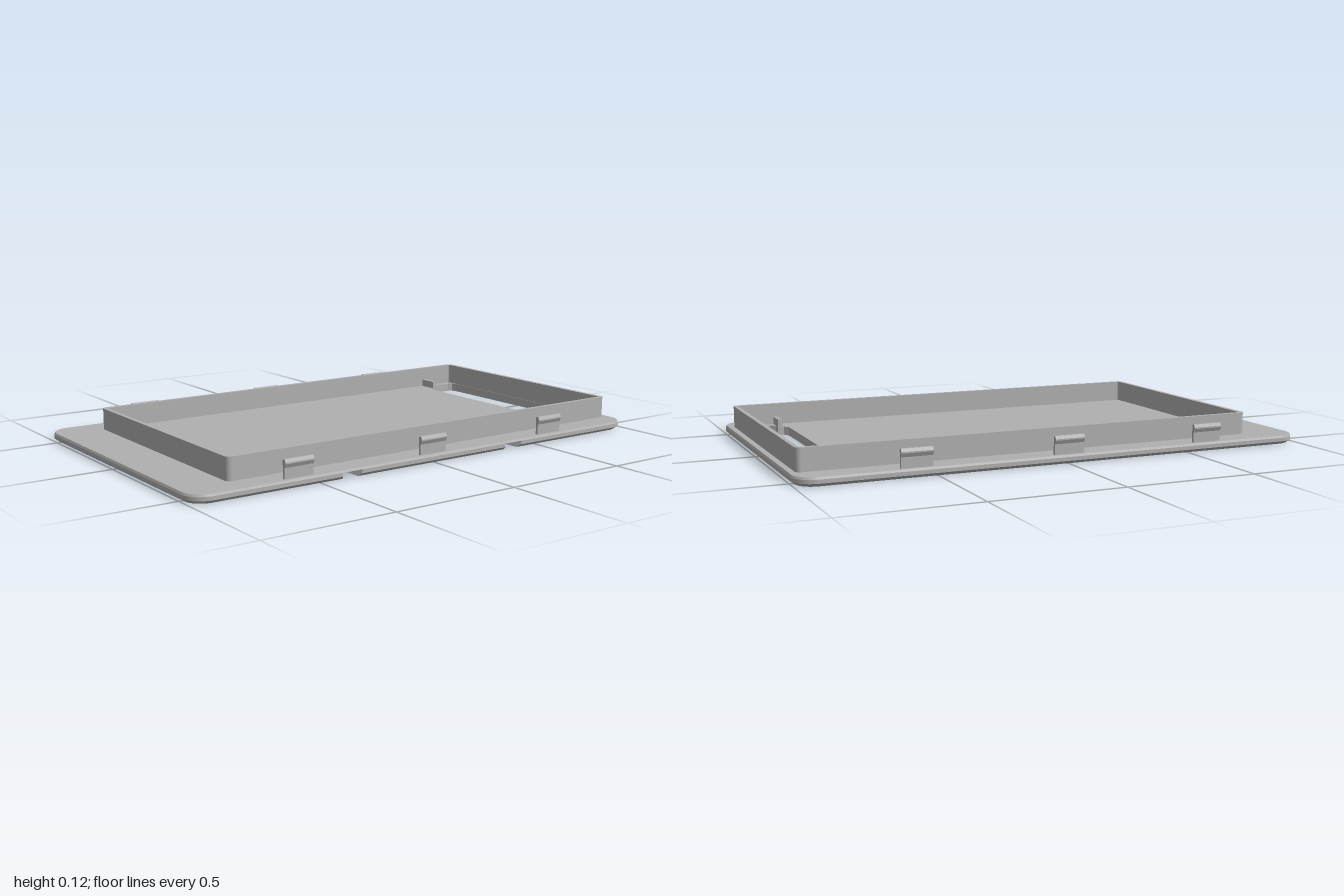
import * as THREE from 'three';

const X = 1, Z = 0.592, R = 0.08;           // plate half sizes and corner radius
const TOP = 0.034, SLOT_TOP = 0.026;        // plate thickness, slot roof height
const CHAMFER = 0.016;
const SLOT_X = 0.375, SLOT_HALF = 0.045, SLOT_DEPTH = 0.2;

// Rounded rectangle path; slots optionally cut into its +z edge
function roundedRect(path, x0, x1, z0, z1, r, slots = []) {
  path.moveTo(x0 + r, z0);
  path.lineTo(x1 - r, z0);
  path.absarc(x1 - r, z0 + r, r, -Math.PI / 2, 0);
  path.lineTo(x1, z1 - r);
  path.absarc(x1 - r, z1 - r, r, 0, Math.PI / 2);
  for (const s of slots) {
    path.lineTo(s + SLOT_HALF, z1);
    path.lineTo(s + SLOT_HALF, z1 - SLOT_DEPTH);
    path.lineTo(s - SLOT_HALF, z1 - SLOT_DEPTH);
    path.lineTo(s - SLOT_HALF, z1);
  }
  path.lineTo(x0 + r, z1);
  path.absarc(x0 + r, z1 - r, r, Math.PI / 2, Math.PI);
  path.lineTo(x0, z0 + r);
  path.absarc(x0 + r, z0 + r, r, Math.PI, Math.PI * 1.5);
  return path;
}

// Extrude a plan shape (x, z) between two heights
function slab(shape, y0, y1) {
  const g = new THREE.ExtrudeGeometry(shape, { depth: y1 - y0, bevelEnabled: false, curveSegments: 10 });
  return g.rotateX(Math.PI / 2).translate(0, y1, 0);
}

// Window opening with stepped left corners
function windowHole() {
  const h = new THREE.Path();
  const pts = [[0.775, -0.38], [0.79, -0.398], [0.815, -0.4], [0.815, -0.43], [0.835, -0.448],
    [0.93, -0.448], [0.947, -0.44], [0.955, -0.42]];
  const mirrored = pts.map(([x, z]) => [x, -z]).reverse();
  h.setFromPoints([...pts, ...mirrored].map(([x, z]) => new THREE.Vector2(x, z)));
  h.closePath();
  return h;
}

// Pull the outer rim inwards by an inset and narrow the slots towards the bottom
function shapeRim(g, insetAt) {
  const p = g.attributes.position;
  for (let i = 0; i < p.count; i++) {
    let x = p.getX(i), z = p.getZ(i);
    const y = p.getY(i);
    const side = Math.sign(x) * SLOT_X;
    if (y < SLOT_TOP && z > 0.3 && Math.abs(x - side) < 0.05) {
      x = side + (x - side) * (0.73 + 0.27 * y / SLOT_TOP);
    }
    const cx = THREE.MathUtils.clamp(x, -X + R, X - R);
    const cz = THREE.MathUtils.clamp(z, -Z + R, Z - R);
    const d = Math.hypot(x - cx, z - cz), max = R - insetAt(y);
    if (d > max) {
      x = cx + (x - cx) * max / d;
      z = cz + (z - cz) * max / d;
    }
    p.setXYZ(i, x, y, z);
  }
  g.computeVertexNormals();
  return g;
}

export function createModel() {
  const model = new THREE.Group();
  const grey = new THREE.MeshStandardMaterial({ color: 0xb0b0b0 });
  grey.name = 'grey plastic';
  const add = (name, geometry) => {
    const m = new THREE.Mesh(geometry, grey);
    m.name = name;
    model.add(m);
    return m;
  };

  // Base plate in layers: chamfered bottom, slotted middle, closed top
  const inset = y => (y < 0.001 ? CHAMFER : y > TOP - 0.001 ? 0.004 : 0);
  const layers = [
    ['plateBottom', 0, 0.012, [SLOT_X, -SLOT_X]],
    ['plateMiddle', 0.012, SLOT_TOP, [SLOT_X, -SLOT_X]],
    ['plateTop', SLOT_TOP, TOP, []],
  ];
  for (const [name, y0, y1, slots] of layers) {
    const shape = roundedRect(new THREE.Shape(), -X, X, -Z, Z, R, slots);
    shape.holes.push(windowHole());
    add(name, shapeRim(slab(shape, y0, y1), inset));
  }

  // Raised frame wall
  const frame = roundedRect(new THREE.Shape(), -0.814, 0.974, -0.493, 0.493, 0.02);
  frame.holes.push(roundedRect(new THREE.Path(), -0.797, 0.957, -0.476, 0.476, 0.008));
  add('frameWall', slab(frame, TOP - 0.002, 0.118));

  // Snap clips along both long edges, hooks facing outwards
  const profile = new THREE.Shape([[0.566, 0.03], [0.576, 0.03], [0.576, 0.073], [0.583, 0.087],
    [0.583, 0.092], [0.577, 0.103], [0.569, 0.103], [0.566, 0.099]].map(([z, y]) => new THREE.Vector2(z, y)));
  const clip = new THREE.ExtrudeGeometry(profile, { depth: 0.117, bevelEnabled: false });
  clip.translate(0, 0, -0.0585).rotateY(-Math.PI / 2);
  for (const x of [-0.585, -0.004, 0.576]) {
    for (const side of [1, -1]) {
      const m = add(side > 0 ? 'frontClip' : 'backClip', clip);
      m.position.x = x;
      if (side < 0) m.rotation.y = Math.PI;
    }
  }

  // Short ribs beside the window
  for (const side of [1, -1]) {
    const rib = add('windowRib', new THREE.BoxGeometry(0.018, 0.032, 0.085));
    rib.position.set(0.805, TOP + 0.014, side * 0.4425);
  }
  return model;
}
